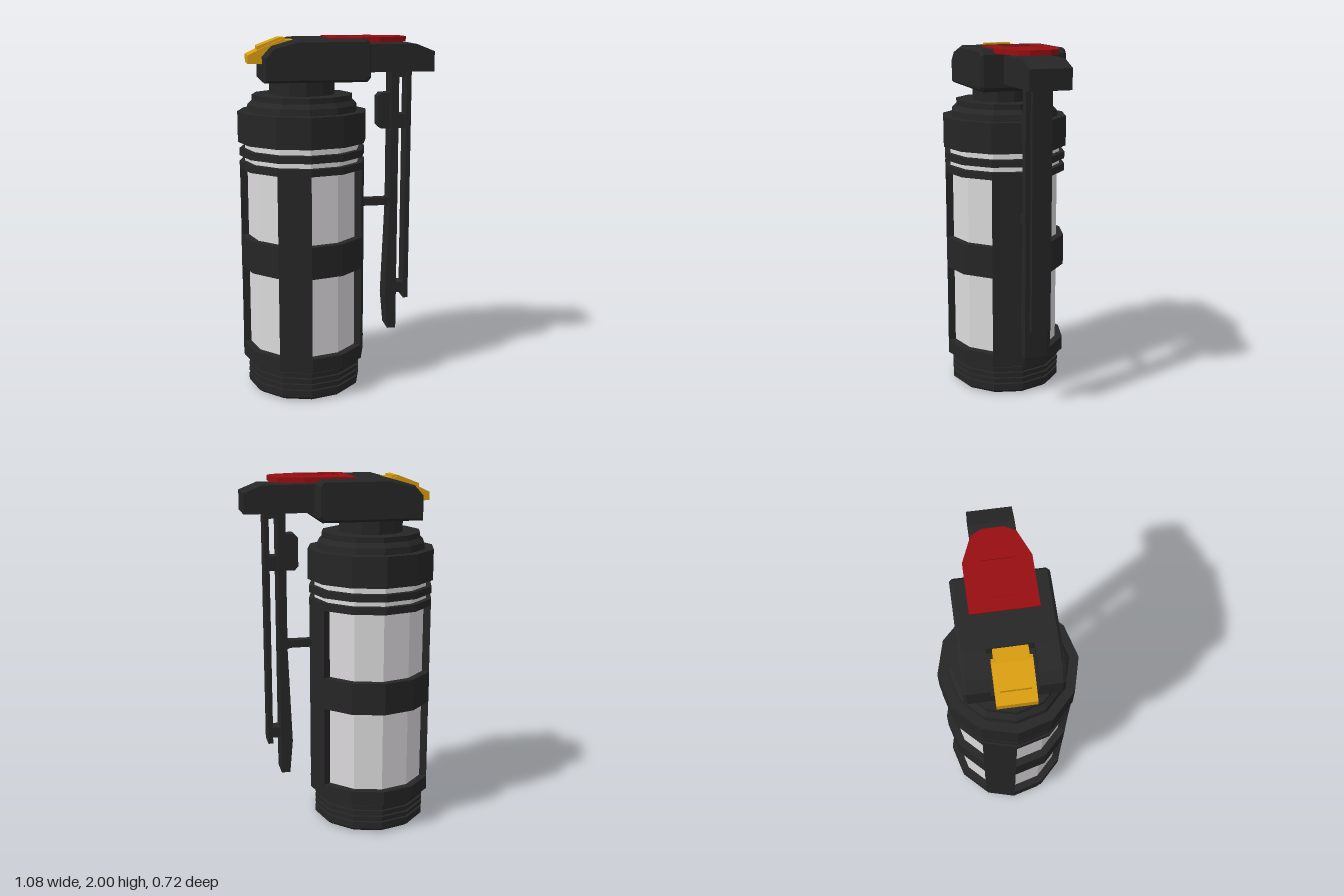
import * as THREE from 'three';

const mat = (name, color) => {
  const m = new THREE.MeshStandardMaterial({ color });
  m.name = name;
  return m;
};

export function createModel() {
  const black = mat('black', 0x262626);
  const silver = mat('silver', 0xdcdadc);
  const red = mat('red', 0x960e11);
  const yellow = mat('yellow', 0xd89c10);
  const root = new THREE.Group();
  root.name = 'canister';
  const body = new THREE.Group();
  body.name = 'body';
  body.position.x = -0.18;
  root.add(body);

  // Faceted mesh
  function add(name, geo, material, parent = root) {
    const g = geo.index ? geo.toNonIndexed() : geo;
    g.computeVertexNormals();
    const mesh = new THREE.Mesh(g, material);
    mesh.name = name;
    parent.add(mesh);
    return mesh;
  }
  const V = ([x, y]) => new THREE.Vector2(x, y);
  const lathe = (pts) => new THREE.LatheGeometry(pts.map(V), 12);
  const ring = (r, y0, y1, inner = 0.3) => lathe([[inner, y0], [r, y0], [r, y1], [inner, y1]]);

  // Side profile (x, y) extruded across z
  function slab(pts, halfWidth) {
    const g = new THREE.ExtrudeGeometry(new THREE.Shape(pts.map(V)), { depth: 2 * halfWidth, bevelEnabled: false });
    return g.translate(0, 0, -halfWidth);
  }
  // Plan outline (x, z) extruded upward from y0 to y1
  function plan(pts, y0, y1, hole) {
    const flip = (p) => p.map(([x, z]) => new THREE.Vector2(x, -z));
    const s = new THREE.Shape(flip(pts));
    if (hole) s.holes.push(new THREE.Path(flip(hole)));
    const g = new THREE.ExtrudeGeometry(s, { depth: y1 - y0, bevelEnabled: false });
    return g.rotateX(-Math.PI / 2).translate(0, y0, 0);
  }
  // Box from its limits, symmetric in z
  const box = (x0, x1, y0, y1, hz) =>
    new THREE.BoxGeometry(x1 - x0, y1 - y0, 2 * hz).translate((x0 + x1) / 2, (y0 + y1) / 2, 0);

  // Threaded base
  const thread = [[0, 0], [0.3, 0], [0.325, 0.02], [0.325, 0.06]];
  for (let y = 0.06; y < 0.16; y += 0.035) {
    thread.push([0.308, y], [0.308, y + 0.015], [0.325, y + 0.015], [0.325, y + 0.035]);
  }
  thread.push([0.31, 0.165], [0.31, 0.2]);
  add('threadedBase', lathe(thread), black, body);

  // Inner tube and its exposed collar
  add('innerTube', lathe([[0.31, 0.18], [0.31, 1.3]]), silver, body);
  add('collarTube', lathe([[0.322, 1.3], [0.322, 1.44]]), silver, body);

  // Cage rings
  for (const [y0, y1] of [[0.18, 0.26], [0.72, 0.9], [1.285, 1.325], [1.355, 1.395]]) {
    add('cageRing', ring(0.353, y0, y1), black, body);
  }

  // Cage posts: wide one beside the lever, two narrow ones
  for (const [a0, a1] of [[-30, 30], [90, 120], [180, 210]]) {
    const outer = [], inner = [];
    for (let a = a0; a <= a1; a += 30) {
      const c = Math.cos(a * Math.PI / 180), s = Math.sin(a * Math.PI / 180);
      outer.push([0.352 * c, 0.352 * s]);
      inner.unshift([0.3 * c, 0.3 * s]);
    }
    add('cagePost', plan([...outer, ...inner], 0.25, 1.295), black, body);
  }

  // Stepped cap and neck
  add('cap', lathe([[0.3, 1.43], [0.36, 1.43], [0.36, 1.6], [0.31, 1.6], [0.305, 1.635],
    [0.28, 1.66], [0.28, 1.69], [0.18, 1.69]]), black, body);
  add('neck', lathe([[0.182, 1.67], [0.182, 1.8]]), black, body);

  // Head block, lofted along z with a slot for the clip
  const full = [[-0.41, 1.768], [-0.41, 1.9], [-0.36, 1.955], [-0.23, 1.992], [-0.23, 1.992],
    [0.14, 1.992], [0.16, 1.965], [0.16, 1.79], [0.14, 1.768]];
  const slot = full.map((p) => [...p]);
  slot[1][1] = 1.85; slot[2][1] = 1.89; slot[3][1] = 1.93;
  const inset = full.map(([x, y]) => [-0.125 + (x + 0.125) * 0.97, 1.88 + (y - 1.88) * 0.88]);
  const rings = [[inset, -0.243], [full, -0.228], [full, -0.115], [slot, -0.115],
    [slot, 0.115], [full, 0.115], [full, 0.228], [inset, 0.243]];
  const n = full.length, pos = [], idx = [];
  for (const [pts, z] of rings) for (const [x, y] of pts) pos.push(x, y, z);
  for (let r = 0; r < rings.length - 1; r++) {
    for (let i = 0; i < n; i++) {
      const a = r * n + i, b = r * n + (i + 1) % n;
      idx.push(a, a + n, b + n, a, b + n, b);
    }
  }
  const last = (rings.length - 1) * n;
  for (let i = 1; i < n - 1; i++) idx.push(0, i, i + 1, last, last + i + 1, last + i);
  const headGeo = new THREE.BufferGeometry();
  headGeo.setAttribute('position', new THREE.Float32BufferAttribute(pos, 3));
  headGeo.setIndex(idx);
  add('head', headGeo, black);

  // Arm holding the lever
  add('arm', slab([[0.1, 1.81], [0.54, 1.81], [0.54, 1.92], [0.44, 1.96], [0.1, 1.96]], 0.115), black);

  // Red plate with a recessed square
  add('redPlate', plan([[-0.05, -0.17], [0.22, -0.17], [0.36, -0.112], [0.39, -0.055],
    [0.39, 0.055], [0.36, 0.112], [0.22, 0.17], [-0.05, 0.17]], 1.972, 2,
  [[0.01, -0.085], [0.01, 0.085], [0.22, 0.085], [0.22, -0.085]]), red);
  add('redRecess', box(0.0, 0.23, 1.973, 1.994, 0.09), red);
  add('redRecessPad', box(0.025, 0.21, 1.98, 1.996, 0.075), red);

  // Yellow clip
  add('clip', slab([[-0.485, 1.86], [-0.4, 1.86], [-0.28, 1.92], [-0.28, 1.985], [-0.3, 1.99],
    [-0.42, 1.937], [-0.485, 1.905]], 0.098), yellow);
  add('clipPad', slab([[-0.43, 1.93], [-0.3, 1.98], [-0.28, 1.985], [-0.28, 1.998],
    [-0.31, 1.998], [-0.43, 1.952]], 0.075), yellow);
  add('clipTail', box(-0.29, -0.229, 1.92, 1.985, 0.085), yellow);

  // Lever: inner bar, outer strip, spacers, tab and pin
  add('leverBar', slab([[0.305, 0.31], [0.355, 0.31], [0.355, 1.86], [0.31, 1.86],
    [0.31, 1.05], [0.288, 0.5]], 0.065), black);
  add('leverStrip', box(0.4, 0.428, 0.49, 1.83, 0.055), black);
  for (const [y0, y1] of [[0.52, 0.58], [1.49, 1.57], [1.775, 1.85]]) {
    add('leverSpacer', box(0.35, 0.405, y0, y1, 0.04), black);
  }
  add('leverTab', slab([[0.26, 1.49], [0.32, 1.49], [0.32, 1.69], [0.26, 1.69],
    [0.24, 1.67], [0.24, 1.51]], 0.045), black);
  add('leverPin', slab([[0.14, 1.045], [0.29, 1.045], [0.32, 1.03], [0.32, 1.1],
    [0.29, 1.088], [0.14, 1.088]], 0.025), black);

  return root;
}
